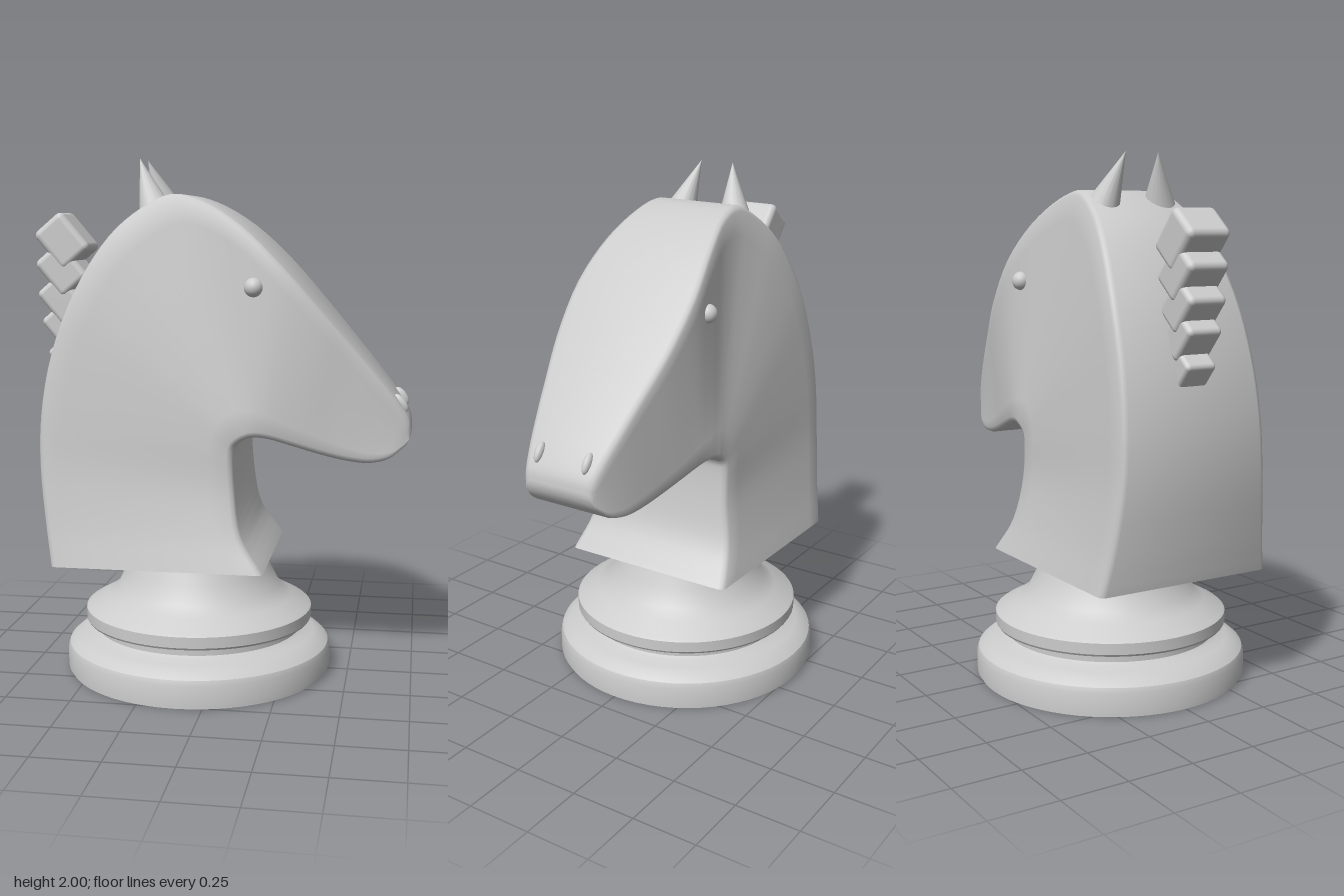
import * as THREE from 'three';
import { toCreasedNormals } from 'three/addons/utils/BufferGeometryUtils.js';
import { RoundedBoxGeometry } from 'three/addons/geometries/RoundedBoxGeometry.js';

const V = (x, y, z) => new THREE.Vector3(x, y, z);

// Head stations: [x, y, halfWidth] along the mane/face edge and along the chest/jaw edge
const outer = [
  [-0.61, 0.47, 0.36], [-0.635, 0.62, 0.335], [-0.66, 0.85, 0.31], [-0.655, 1.05, 0.3], [-0.615, 1.27, 0.288],
  [-0.53, 1.5, 0.27], [-0.4, 1.71, 0.235], [-0.28, 1.815, 0.205], [-0.17, 1.865, 0.19], [-0.05, 1.84, 0.2],
  [0.1, 1.75, 0.235], [0.25, 1.61, 0.262], [0.4, 1.44, 0.25], [0.52, 1.3, 0.217], [0.62, 1.18, 0.187],
  [0.69, 1.09, 0.163], [0.725, 1.03, 0.148], [0.732, 0.985, 0.14],
];
const inner = [
  [0.2, 0.47, 0.36], [0.115, 0.6, 0.325], [0.085, 0.77, 0.295], [0.078, 0.91, 0.292], [0.082, 0.93, 0.292],
  [0.09, 0.943, 0.292], [0.1, 0.952, 0.292], [0.112, 0.96, 0.292], [0.123, 0.965, 0.292], [0.137, 0.97, 0.29],
  [0.165, 0.972, 0.285], [0.21, 0.965, 0.275], [0.3, 0.937, 0.255], [0.4, 0.905, 0.232], [0.5, 0.88, 0.212],
  [0.58, 0.872, 0.197], [0.65, 0.887, 0.18], [0.712, 0.935, 0.155],
];

// Loft of bevelled sections, each spanning from the outer edge to the inner edge
function headGeometry() {
  const a = new THREE.CatmullRomCurve3(outer.map((p) => V(...p)));
  const b = new THREE.CatmullRomCurve3(inner.map((p) => V(...p)));
  const rows = (outer.length - 1) * 4, steps = 10, r = 0.022;
  const pos = [], idx = [];
  let n = 0;
  for (let i = 0; i <= rows; i++) {
    const p = a.getPoint(i / rows), q = b.getPoint(i / rows);
    const e = r / Math.hypot(q.x - p.x, q.y - p.y);
    const side = [[0, r], [0.3 * e, 0.3 * r]];
    for (let k = 0; k <= steps; k++) side.push([e + (1 - 2 * e) * k / steps, 0]);
    side.push([1 - 0.3 * e, 0.3 * r], [1, r]);
    const half = side.map(([t, cut]) => [
      p.x + (q.x - p.x) * t, p.y + (q.y - p.y) * t, p.z + (q.z - p.z) * t - cut,
    ]);
    const loop = [...half, ...half.slice().reverse().map(([x, y, z]) => [x, y, -z])];
    n = loop.length;
    loop.forEach((c) => pos.push(...c));
  }
  for (let i = 0; i < rows; i++) {
    for (let j = 0; j < n; j++) {
      const k = (j + 1) % n, s = i * n, t = s + n;
      idx.push(s + j, s + k, t + k, s + j, t + k, t + j);
    }
  }
  // flat caps under the neck and at the nose
  const c0 = pos.length / 3, last = rows * n;
  const mid = (k) => [(outer[k][0] + inner[k][0]) / 2, (outer[k][1] + inner[k][1]) / 2, 0];
  pos.push(...mid(0), ...mid(outer.length - 1));
  for (let j = 0; j < n; j++) {
    const k = (j + 1) % n;
    idx.push(c0, k, j, c0 + 1, last + j, last + k);
  }
  const g = new THREE.BufferGeometry();
  g.setAttribute('position', new THREE.Float32BufferAttribute(pos, 3));
  g.setIndex(idx);
  return toCreasedNormals(g, 0.85);
}

export function createModel() {
  const group = new THREE.Group();
  const grey = new THREE.MeshStandardMaterial({ color: 0xcccccc });
  grey.name = 'light grey';

  function add(name, geometry, x = 0, y = 0, z = 0) {
    const m = new THREE.Mesh(geometry, grey);
    m.name = name;
    m.position.set(x, y, z);
    group.add(m);
    return m;
  }

  // turned pedestal
  const profile = [
    [0, 0], [0.515, 0], [0.515, 0.012], [0.525, 0.016], [0.525, 0.09], [0.518, 0.11], [0.495, 0.13], [0.46, 0.147],
    [0.42, 0.155], [0.405, 0.165], [0.405, 0.19], [0.445, 0.2], [0.45, 0.208], [0.45, 0.25], [0.44, 0.258],
    [0.37, 0.295], [0.325, 0.33], [0.29, 0.4], [0.265, 0.465], [0.25, 0.475], [0, 0.475],
  ].map(([x, y]) => new THREE.Vector2(x, y));
  add('pedestal', toCreasedNormals(new THREE.LatheGeometry(profile, 64), 0.5), -0.1);

  add('head', headGeometry());

  // mane blocks, shrinking down the neck
  const mane = [
    [-0.622, 1.69, 1], [-0.627, 1.58, 0.95], [-0.63, 1.465, 0.88], [-0.625, 1.36, 0.8], [-0.615, 1.24, 0.7],
  ];
  mane.forEach(([x, y, s], i) => {
    const m = add('maneBlock' + (i + 1), new RoundedBoxGeometry(0.185, 0.145, 0.18, 3, 0.024), x, y);
    m.scale.setScalar(s);
    m.rotation.z = -0.87;
  });

  for (const s of [1, -1]) {
    const label = s > 0 ? 'left' : 'right';
    // ear leaning back and inward
    const foot = V(-0.245, 1.815, s * 0.12), tip = V(-0.31, 2, s * 0.07);
    const axis = tip.clone().sub(foot);
    const ear = add(label + 'Ear', new THREE.ConeGeometry(0.06, axis.length(), 16));
    ear.position.copy(foot).add(tip).multiplyScalar(0.5);
    ear.quaternion.setFromUnitVectors(V(0, 1, 0), axis.normalize());
    // eye
    add(label + 'Eye', new THREE.SphereGeometry(0.036, 20, 14), 0.15, 1.525, s * 0.25);
    // nostril lying along the face slope
    const nostril = add(label + 'Nostril', new THREE.SphereGeometry(1, 16, 12), 0.69, 1.09, s * 0.105);
    nostril.scale.set(0.02, 0.04, 0.016);
    nostril.rotation.z = 0.6;
  }
  return group;
}
